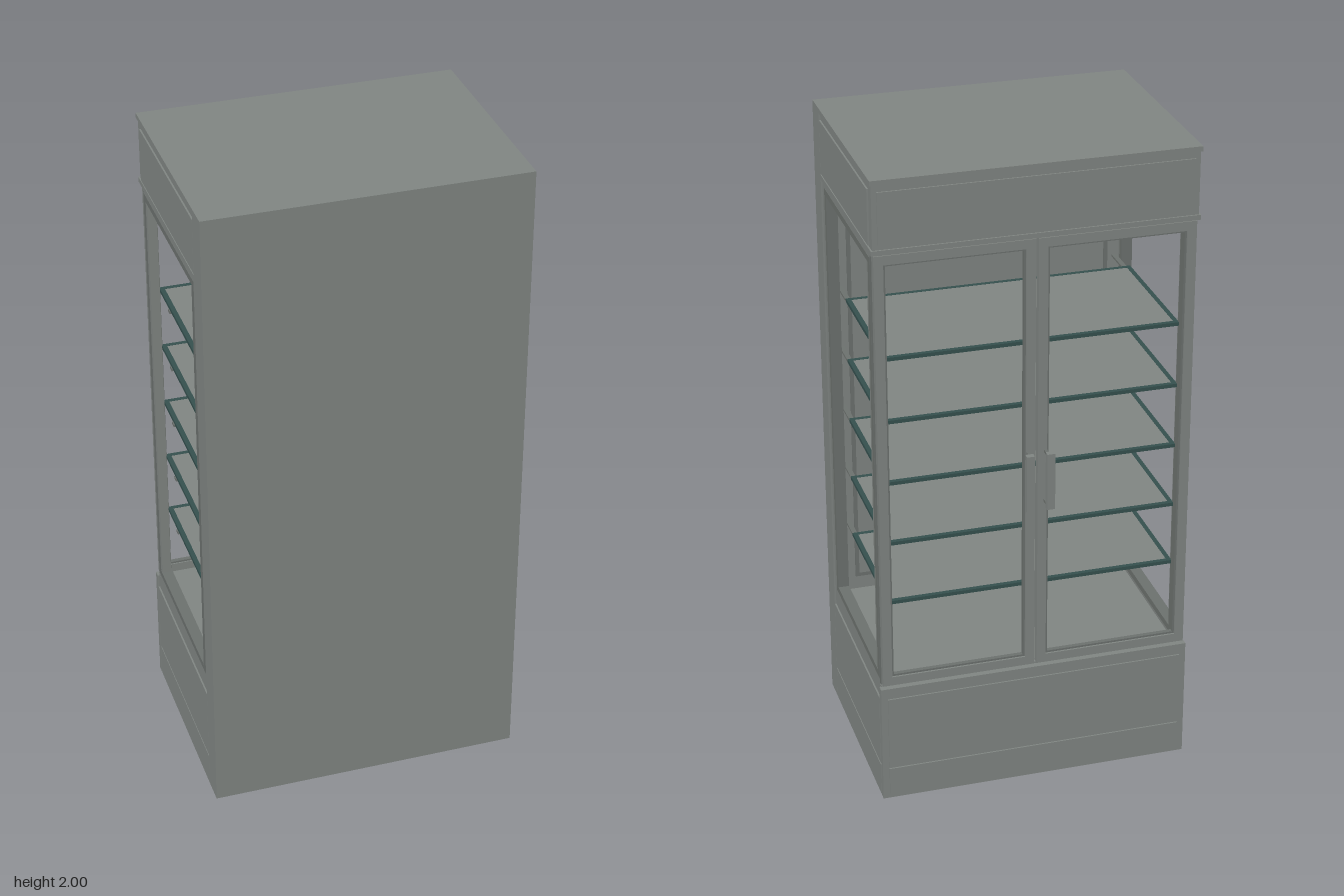
import * as THREE from 'three';

const steel = new THREE.MeshStandardMaterial({ color: 0x808582 });
steel.name = 'grey steel';
const trim = new THREE.MeshStandardMaterial({ color: 0x6c716e });
trim.name = 'dark grey trim';
const glassEdge = new THREE.MeshStandardMaterial({ color: 0x35504e });
glassEdge.name = 'dark teal glass edge';

export function createModel() {
  const model = new THREE.Group();
  model.name = 'displayCabinet';

  // Box given by its minimum and maximum on each axis
  const box = (name, [x0, x1], [y0, y1], [z0, z1], mat = steel, parent = model) => {
    const m = new THREE.Mesh(new THREE.BoxGeometry(x1 - x0, y1 - y0, z1 - z0), mat);
    m.position.set((x0 + x1) / 2, (y0 + y1) / 2, (z0 + z1) / 2);
    m.name = name;
    parent.add(m);
    return m;
  };

  // Rectangular frame in the XY plane, extruded by depth around z = 0
  const frame = (name, w, h, border, depth, mat = steel) => {
    const rect = (target, a, b) => target.moveTo(-a, -b).lineTo(a, -b).lineTo(a, b).lineTo(-a, b).closePath();
    const s = rect(new THREE.Shape(), w / 2, h / 2);
    s.holes.push(rect(new THREE.Path(), w / 2 - border, h / 2 - border));
    const g = new THREE.ExtrudeGeometry(s, { depth, bevelEnabled: false });
    g.translate(0, 0, -depth / 2);
    const m = new THREE.Mesh(g, mat);
    m.name = name;
    model.add(m);
    return m;
  };

  // Carcass: solid wall, base and header
  box('wall', [-0.48, 0.48], [0, 2], [0.287, 0.365]);
  box('base', [-0.475, 0.475], [0, 0.39], [-0.3, 0.287]);
  box('header', [-0.475, 0.475], [1.78, 2], [-0.32, 0.287]);
  box('roof', [-0.48, 0.48], [1.985, 2], [-0.325, 0.287]);
  box('headerLip', [-0.48, 0.48], [1.78, 1.795], [-0.325, 0.287]);
  box('headerPanel', [-0.46, 0.46], [1.805, 1.965], [-0.325, -0.318]);

  // Lower fascia with its kick plate
  box('fascia', [-0.48, 0.48], [0, 0.385], [-0.32, -0.298]);
  box('fasciaPanel', [-0.46, 0.46], [0.112, 0.35], [-0.325, -0.318]);
  box('kickPlate', [-0.46, 0.46], [0.015, 0.106], [-0.325, -0.318]);

  for (const s of [-1, 1]) {
    const side = s < 0 ? 'right' : 'left';
    const span = (a, b) => (s > 0 ? [a, b] : [-b, -a]);

    // Side panels on base and header
    box(side + 'BasePanel', span(0.47, 0.48), [0.112, 0.345], [-0.293, 0.285]);
    box(side + 'KickPlate', span(0.47, 0.48), [0, 0.106], [-0.293, 0.285]);
    box(side + 'HeaderPanel', span(0.47, 0.48), [1.8, 1.965], [-0.29, 0.285]);

    // Open window frame with an inner trim
    const win = frame(side + 'WindowFrame', 0.572, 1.39, 0.034, 0.028);
    win.rotation.y = Math.PI / 2;
    win.position.set(s * 0.461, 1.085, 0.001);
    const rim = frame(side + 'WindowTrim', 0.55, 1.355, 0.02, 0.034, trim);
    rim.rotation.y = Math.PI / 2;
    rim.position.set(s * 0.459, 1.085, -0.012);
    box(side + 'CornerPost', span(0.452, 0.474), [0.39, 1.78], [-0.295, -0.28], trim);

    // Door frame
    const door = frame(side + 'DoorFrame', 0.468, 1.38, 0.028, 0.024);
    door.position.set(s * 0.238, 1.085, -0.305);
    const bead = frame(side + 'DoorBead', 0.424, 1.336, 0.012, 0.014, trim);
    bead.position.set(s * 0.238, 1.085, -0.304);

    // Door handle: grip bar on two short arms
    const handle = new THREE.Group();
    handle.name = side + 'Handle';
    model.add(handle);
    box('grip', span(0.019, 0.043), [0.94, 1.12], [-0.364, -0.346], steel, handle);
    for (const y of [0.945, 1.107]) {
      box('arm', span(0.022, 0.031), [y, y + 0.008], [-0.348, -0.315], trim, handle);
    }

    // Shelf support rails
    for (let i = 0; i < 5; i++) {
      const y = 0.645 + i * 0.197;
      box(side + 'ShelfRail', span(0.425, 0.44), [y - 0.003, y + 0.003], [0.07, 0.288], trim);
      box(side + 'ShelfPeg', span(0.42, 0.446), [y - 0.005, y + 0.003], [-0.165, -0.145], trim);
    }
  }

  // Glass shelves: clear grey plate with a dark teal rim
  for (let i = 0; i < 5; i++) {
    const y = 0.653 + i * 0.197;
    box('shelf', [-0.43, 0.43], [y - 0.005, y + 0.005], [-0.265, 0.155]);
    const rim = frame('shelfRim', 0.886, 0.44, 0.014, 0.011, glassEdge);
    rim.rotation.x = Math.PI / 2;
    rim.position.set(0, y, -0.055);
  }

  // Inset border on the inner wall
  const inset = frame('innerWallBorder', 0.82, 1.3, 0.012, 0.006, trim);
  inset.position.set(0, 1.085, 0.285);

  // Ceiling downlights
  for (const x of [-0.25, 0, 0.25]) {
    const lamp = new THREE.Mesh(new THREE.CylinderGeometry(0.04, 0.04, 0.006, 24), steel);
    lamp.name = 'downlight';
    lamp.position.set(x, 1.778, -0.02);
    model.add(lamp);
  }

  return model;
}
